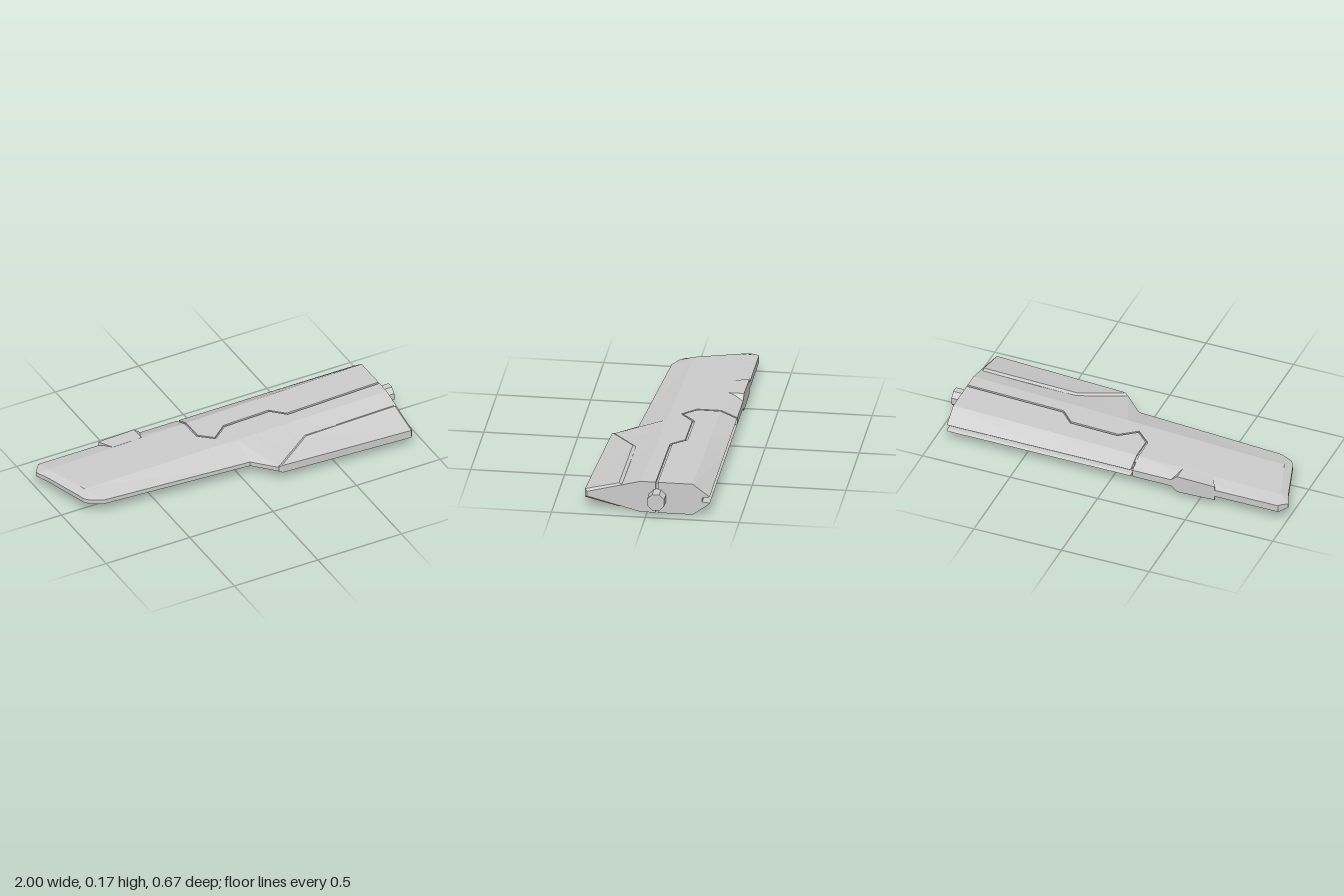
import * as THREE from 'three';

const MID = 0.0875; // height of the symmetry plane

// Piecewise-linear lookup over [x, value] pairs
function lerpTable(table, x) {
  if (x <= table[0][0]) return table[0][1];
  for (let i = 1; i < table.length; i++) {
    const [x0, v0] = table[i - 1], [x1, v1] = table[i];
    if (x <= x1) return v0 + (v1 - v0) * (x - x0) / (x1 - x0);
  }
  return table[table.length - 1][1];
}

// Wing outline, ridge lines and half thickness along the span
const leading = [[-1, -0.28], [-0.97, -0.21], [-0.89, 0.05], [-0.87, 0.075], [-0.8, 0.11], [0.04, 0.17], [0.15, 0.285], [0.93, 0.32]];
const trailing = [[-1, -0.285], [-0.96, -0.333], [0.93, -0.333]];
const frontRidge = [[-1, -0.281], [-0.94, -0.235], [-0.86, 0.0], [0.93, 0.037]];
const backRidge = [[-1, -0.284], [-0.94, -0.25], [0.93, -0.243]];
const thickness = [[-1, 0.012], [-0.94, 0.033], [0.93, 0.0875]];
const seam = [[-0.13, -0.125], [-0.05, -0.051], [0.04, -0.123], [0.31, -0.123], [0.38, -0.051], [0.93, -0.051]];
const GAP = 0.006;

// Half thickness of the wing at a point in plan
function half(x, z) {
  const H = lerpTable(thickness, x);
  return lerpTable([
    [lerpTable(trailing, x), Math.min(0.02, H)],
    [lerpTable(backRidge, x), H],
    [lerpTable(frontRidge, x), H],
    [lerpTable(leading, x), 0.0125],
  ], z);
}

// Upper section points from front to back, clipped to zb..zf
function upper(x, zf, zb, scale = 1) {
  const zs = [zf, lerpTable(frontRidge, x), lerpTable(backRidge, x), zb];
  return zs.map((z) => {
    const c = Math.min(zf, Math.max(zb, z));
    return [c, half(x, c) * scale];
  });
}

// Closed flat-shaded solid through mirrored sections; each is { x, top: [[z, halfHeight]...] }
function loft(name, sections) {
  const rings = sections.map(({ x, top }) => [
    ...top.map(([z, h]) => new THREE.Vector3(x, MID + h, z)),
    ...top.slice().reverse().map(([z, h]) => new THREE.Vector3(x, MID - h, z)),
  ]);
  const pos = [];
  const n = new THREE.Vector3(), e = new THREE.Vector3();
  const tri = (a, b, c, dir = 0) => {
    n.subVectors(b, a).cross(e.subVectors(c, a));
    if (n.length() < 1e-9) return;
    const order = dir * n.x < 0 ? [a, c, b] : [a, b, c];
    order.forEach((p) => pos.push(p.x, p.y, p.z));
  };
  for (let i = 0; i + 1 < rings.length; i++) {
    const r = rings[i], s = rings[i + 1];
    r.forEach((a, j) => {
      const k = (j + 1) % r.length;
      tri(a, s[j], r[k]);
      tri(r[k], s[j], s[k]);
    });
  }
  [[rings[0], -1], [rings[rings.length - 1], 1]].forEach(([ring, dir]) => {
    const flat = ring.map((p) => new THREE.Vector2(p.z, p.y));
    THREE.ShapeUtils.triangulateShape(flat, []).forEach(([a, b, c]) => tri(ring[a], ring[b], ring[c], dir));
  });
  const geo = new THREE.BufferGeometry();
  geo.setAttribute('position', new THREE.Float32BufferAttribute(pos, 3));
  geo.computeVertexNormals();
  return makeMesh(name, geo);
}

function makeMesh(name, geo) {
  const mesh = new THREE.Mesh(geo, new THREE.MeshStandardMaterial({ color: 0xcccccc, flatShading: true }));
  mesh.name = name;
  return mesh;
}

export function createModel() {
  const group = new THREE.Group();
  group.name = 'wing';

  // Main wing, cut away behind the seam
  const xs = [-1, -0.97, -0.96, -0.94, -0.89, -0.87, -0.86, -0.8, -0.13, -0.1295, -0.05, 0.04, 0.15, 0.31, 0.38, 0.93];
  group.add(loft('mainWing', xs.map((x) => {
    const zb = x > -0.13 ? lerpTable(seam, x) + GAP : lerpTable(trailing, x);
    return { x, top: upper(x, lerpTable(leading, x), zb) };
  })));

  // Rear flap with a slot along its trailing edge
  group.add(loft('rearFlap', [-0.119, -0.05, 0.04, 0.31, 0.38, 0.93].map((x) => {
    const top = upper(x, lerpTable(seam, x) - GAP, -0.333);
    return { x, top: [...top, [-0.32, 0.0125], [-0.293, 0.0125]] };
  })));

  // Recessed core that closes the bottom of the seam
  group.add(loft('seamCore', [-0.2, 0.915].map((x) => ({ x, top: upper(x, 0.03, -0.28, 0.85) }))));

  // Raised leading-edge panel wrapping above and below, beveled at its borders
  const panel = [
    // x, front edge, inner border, outer border, raise
    [0.145, 0.28, 0.28, 0.278, 0],
    [0.17, 0.292, 0.286, 0.268, 0.0105],
    [0.385, 0.304, 0.152, 0.135, 0.0105],
    [0.918, 0.333, 0.152, 0.135, 0.0105],
    [0.93, 0.32, 0.152, 0.135, 0.0005],
  ];
  group.add(loft('leadingEdgePanel', panel.map(([x, zf, zi, zo, raise]) => ({
    x, top: [[zf, half(x, zf) + raise], [zi, half(x, zi) + raise], [zo, half(x, zo) - 0.001]],
  }))));

  // Squared fairing on the trailing edge
  const fairing = [[-0.6, -0.332, 0.042], [-0.555, -0.252, 0.0445], [-0.385, -0.252, 0.0492], [-0.35, -0.332, 0.02]];
  group.add(loft('trailingFairing', fairing.map(([x, zf, h]) => ({ x, top: [[zf, h], [-0.3335, h]] }))));

  // Octagonal mounting peg at the root
  const peg = makeMesh('mountingPeg', new THREE.CylinderGeometry(0.049, 0.049, 0.1, 8));
  peg.geometry.rotateY(Math.PI / 8).rotateZ(-Math.PI / 2);
  peg.position.set(0.95, MID, -0.055);
  group.add(peg);

  return group;
}
